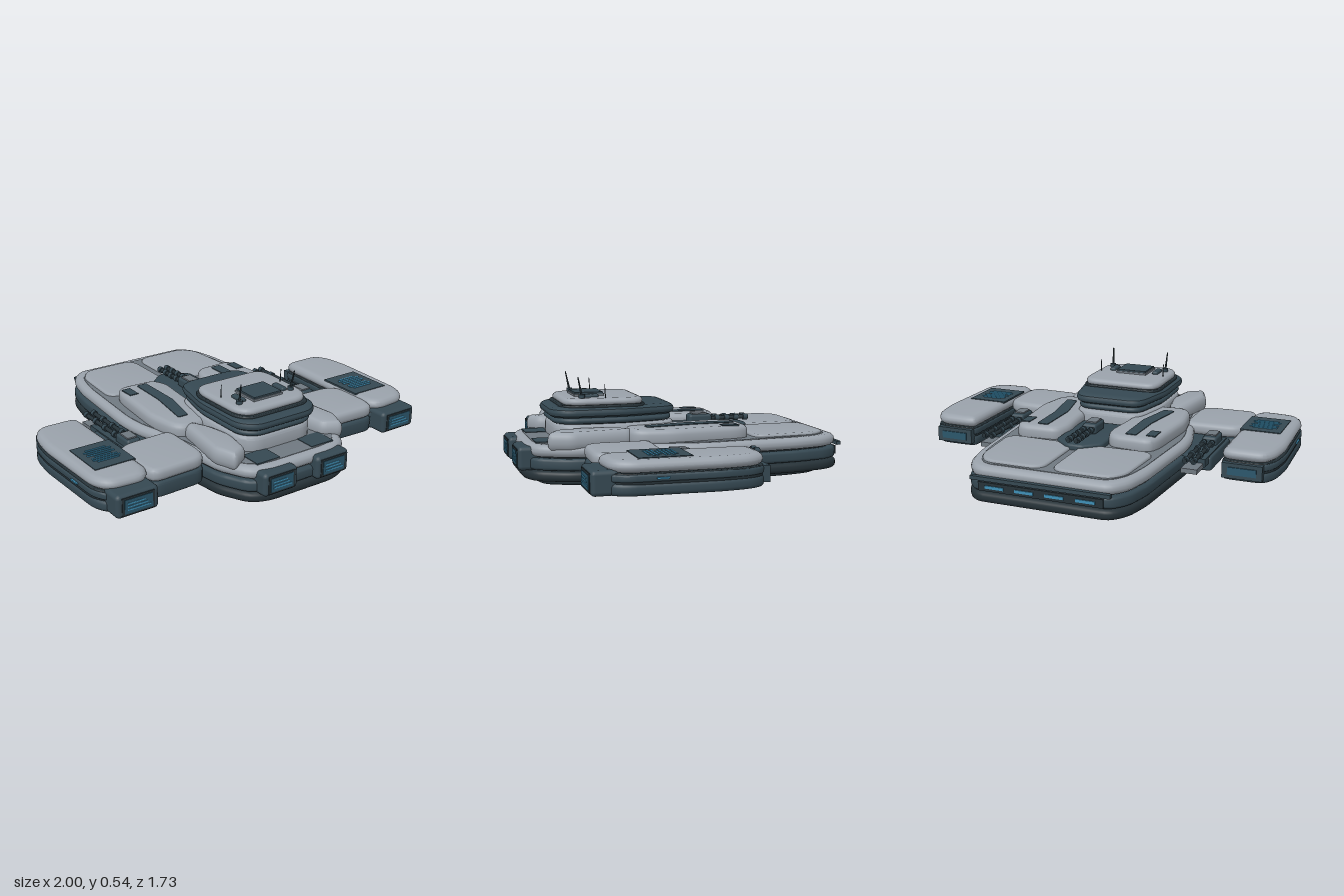
import * as THREE from 'three';
import { toCreasedNormals } from 'three/addons/utils/BufferGeometryUtils.js';
import { RoundedBoxGeometry } from 'three/addons/geometries/RoundedBoxGeometry.js';

const mat = (name, color) => Object.assign(new THREE.MeshStandardMaterial({ color }), { name });

export function createModel() {
  const model = new THREE.Group();
  const light = mat('hull grey', 0x9aa2ab);
  const trim = mat('trim grey', 0x6f7880);
  const dark = mat('dark slate', 0x354852);
  const keel = mat('keel black', 0x263238);
  const glass = mat('teal glass', 0x2b566b);
  const glow = mat('cyan light', 0x3f8fb5);

  const add = (name, geo, m, parent = model) => {
    const mesh = new THREE.Mesh(geo, m);
    mesh.name = name;
    parent.add(mesh);
    return mesh;
  };

  // Plan outline [x, z] with rounded corners
  function outline(pts, r) {
    const s = new THREE.Shape();
    const v = pts.map(([x, z]) => new THREE.Vector2(x, -z));
    v.forEach((p, i) => {
      const a = v[(i + v.length - 1) % v.length], b = v[(i + 1) % v.length];
      const toward = q => p.clone().lerp(q, Math.min(0.45, r / p.distanceTo(q)));
      const p0 = toward(a), p1 = toward(b);
      if (i) s.lineTo(p0.x, p0.y); else s.moveTo(p0.x, p0.y);
      s.quadraticCurveTo(p.x, p.y, p1.x, p1.y);
    });
    s.closePath();
    return s;
  }

  // Horizontal slab with bevelled rims, from y0 to y1
  function slab(name, pts, y0, y1, m, { r = 0.05, b = 0.02, h = b, parent = model } = {}) {
    h = Math.min(h, (y1 - y0) * 0.48);
    const g = new THREE.ExtrudeGeometry(outline(pts, r), {
      depth: y1 - y0 - 2 * h, curveSegments: 4, bevelEnabled: b > 0,
      bevelSize: b, bevelThickness: h, bevelOffset: -b, bevelSegments: 3,
    });
    g.rotateX(-Math.PI / 2).translate(0, y0 + h, 0);
    return add(name, toCreasedNormals(g, 0.6), m, parent);
  }

  const both = half => [...half, ...half.map(([x, z]) => [-x, z]).reverse()];
  const grow = (pts, kx, kz, dz = 0) => pts.map(([x, z]) => [x * kx, z * kz + dz]);
  const box = (name, x0, x1, y0, y1, z0, z1, m, parent) => add(name,
    new THREE.BoxGeometry(x1 - x0, y1 - y0, z1 - z0)
      .translate((x0 + x1) / 2, (y0 + y1) / 2, (z0 + z1) / 2), m, parent);
  const round = (name, x0, x1, y0, y1, z0, z1, r, m, parent) => add(name,
    new RoundedBoxGeometry(x1 - x0, y1 - y0, z1 - z0, 2, r)
      .translate((x0 + x1) / 2, (y0 + y1) / 2, (z0 + z1) / 2), m, parent);
  const rod = (name, a, b, r, m, parent, r2 = r) => {
    const p = new THREE.Vector3(...a), q = new THREE.Vector3(...b);
    const rodMesh = add(name, new THREE.CylinderGeometry(r2, r, p.distanceTo(q), 10), m, parent);
    rodMesh.position.copy(p).lerp(q, 0.5);
    rodMesh.quaternion.setFromUnitVectors(new THREE.Vector3(0, 1, 0), q.sub(p).normalize());
  };

  // Stacked hull layers
  const hull = both([[0.36, -0.85], [0.43, -0.76], [0.465, -0.6], [0.5, -0.1], [0.49, 0.03],
    [0.43, 0.25], [0.4, 0.45], [0.38, 0.62], [0.3, 0.78], [0.2, 0.82]]);
  slab('keelPlate', grow(hull, 0.77, 0.905), 0, 0.04, keel, { b: 0.015 });
  slab('lowerHull', grow(hull, 1, 1.005), 0.035, 0.088, keel, { b: 0.02 });
  slab('hullRecess', grow(hull, 0.94, 0.96), 0.08, 0.16, keel, { b: 0 });
  slab('midHull', hull, 0.092, 0.152, dark, { b: 0.015 });
  slab('mainDeck', grow(hull, 0.995, 0.995), 0.156, 0.218, light, { b: 0.03 });
  slab('deckTrim', grow(hull, 0.91, 0.935), 0.21, 0.222, trim, { b: 0.005 });

  // Stern plate with engine lights
  box('sternPlate', -0.37, 0.37, 0.155, 0.175, -0.868, -0.845, dark);
  box('sternBand', -0.33, 0.33, 0.1, 0.145, -0.858, -0.845, keel);
  for (const x of [-0.24, -0.08, 0.08, 0.24])
    box('sternLight', x - 0.05, x + 0.05, 0.115, 0.13, -0.863, -0.857, glow);

  // Gun with ribbed twin barrels pointing aft
  function gun(name, x, y, zBase, zTip) {
    const g = new THREE.Group();
    g.name = name;
    model.add(g);
    round('gunHousing', x - 0.04, x + 0.04, y - 0.03, y + 0.025, zBase - 0.13, zBase, 0.015, dark, g);
    box('gunCap', x - 0.028, x + 0.028, y + 0.02, y + 0.032, zBase - 0.1, zBase - 0.02, trim, g);
    for (const d of [-0.022, 0.022]) {
      rod('barrel', [x + d, y, zBase - 0.1], [x + d, y, zTip], 0.011, keel, g);
      for (let i = 0; i < 4; i++) {
        const z = THREE.MathUtils.lerp(zBase - 0.15, zTip + 0.03, i / 3);
        rod('barrelRing', [x + d, y, z], [x + d, y, z - 0.025], 0.017, dark, g);
      }
    }
  }

  // Vent of short glowing bars, centred at x, z
  function vent(x, z, y, parent) {
    const w = [0.11, 0.15, 0.13, 0.15, 0.09, 0.14, 0.15, 0.12];
    w.forEach((len, i) => box('ventBar', x - len / 2, x + len / 2, y, y + 0.004,
      z - 0.07 + i * 0.019, z - 0.06 + i * 0.019, glow, parent));
  }

  // Dark nose block with framed glass
  function nose(name, x, w, y0, y1, z0, z1, parent) {
    round(name, x - w / 2, x + w / 2, y0, y1, z0, z1, 0.022, dark, parent);
    const cy = (y0 + y1) / 2, gw = w * 0.33, gh = (y1 - y0) * 0.3;
    box('noseFrame', x - gw - 0.012, x + gw + 0.012, cy - gh - 0.01, cy + gh + 0.01, z1 - 0.01, z1 + 0.003, keel, parent);
    box('noseGlass', x - gw, x + gw, cy - gh, cy + gh, z1, z1 + 0.006, glass, parent);
    for (let i = 0; i < 3; i++)
      box('noseLight', x - gw * 0.8, x + gw * (0.85 - i * 0.2), cy - 0.02 + i * 0.016, cy - 0.013 + i * 0.016,
        z1 + 0.005, z1 + 0.008, glow, parent);
  }

  for (const s of [-1, 1]) {
    const side = s > 0 ? 'left' : 'right';
    const wing = new THREE.Group();
    wing.name = side + 'Wing';
    model.add(wing);
    const m = pts => pts.map(([x, z]) => [x * s, z]);
    const sbox = (n, x0, x1, ...rest) => box(n, Math.min(x0 * s, x1 * s), Math.max(x0 * s, x1 * s), ...rest);

    // Raised aft deck panels
    slab(side + 'AftPanel', m([[0.02, -0.37], [0.02, -0.74], [0.06, -0.78], [0.33, -0.78],
      [0.39, -0.7], [0.41, -0.4], [0.37, -0.36]]), 0.2, 0.235, light, { r: 0.04, b: 0.012 });

    // Shoulders with inlaid strips
    slab(side + 'Shoulder', m([[0.11, -0.24], [0.15, -0.33], [0.37, -0.34], [0.4, -0.27], [0.43, 0.08],
      [0.4, 0.26], [0.34, 0.31], [0.15, 0.28], [0.13, -0.05]]), 0.2, 0.287, light, { b: 0.028 });
    slab(side + 'ShoulderStrip', m([[0.22, -0.29], [0.28, -0.29], [0.285, -0.06], [0.325, 0.2],
      [0.265, 0.2], [0.22, -0.02]]), 0.284, 0.291, dark, { r: 0.01, b: 0 });
    sbox('shoulderHatch', 0.33, 0.38, 0.284, 0.291, -0.28, -0.19, dark);

    // Forward fairings and nose details
    slab(side + 'Fairing', m([[0.29, 0.26], [0.35, 0.29], [0.388, 0.6], [0.34, 0.725], [0.24, 0.67],
      [0.21, 0.5], [0.24, 0.36]]), 0.19, 0.287, light, { r: 0.03, b: 0.028, h: 0.04 });
    sbox('foredeckHatch', 0.1, 0.24, 0.2, 0.225, 0.64, 0.76, dark);
    nose(side + 'NosePod', 0.163 * s, 0.205, 0.085, 0.207, 0.74, 0.855, model);

    // Wing root
    const root = [[0.38, 0.2], [0.66, 0.21], [0.72, 0.26], [0.72, 0.5], [0.69, 0.565], [0.42, 0.555], [0.38, 0.5]];
    slab('wingRootBase', m(root), 0.085, 0.165, dark, { b: 0.015, parent: wing });
    slab('wingRootTop', m(root), 0.167, 0.235, light, { b: 0.025, parent: wing });

    // Outer pod
    const pod = [[0.705, -0.19], [0.74, -0.21], [0.93, -0.21], [0.98, -0.13], [0.998, 0.02],
      [0.985, 0.48], [0.93, 0.565], [0.75, 0.58], [0.7, 0.52]];
    slab('podBase', m(pod), 0.08, 0.14, dark, { b: 0.02, parent: wing });
    slab('podBand', m(pod.map(([x, z]) => [0.85 + (x - 0.85) * 0.96, z * 0.98])), 0.13, 0.185, keel, { b: 0.005, parent: wing });
    slab('podRim', m(pod), 0.145, 0.18, dark, { b: 0.008, parent: wing });
    slab('podTop', m(pod.map(([x, z]) => [0.85 + (x - 0.85) * 0.99, z * 0.97])), 0.183, 0.243, light, { b: 0.035, parent: wing });
    sbox('ventPanel', 0.71, 0.93, 0.238, 0.247, 0.15, 0.41, dark, wing);
    vent(0.82 * s, 0.275, 0.246, wing);
    sbox('podSideLight', 0.975, 0.998, 0.158, 0.166, 0.28, 0.34, glow, wing);
    nose('podNose', 0.83 * s, 0.23, 0.08, 0.2, 0.5, 0.632, wing);
    sbox('podExhaust', 0.72, 0.93, 0.1, 0.18, -0.23, -0.18, dark, wing);
    sbox('podExhaustGlow', 0.75, 0.9, 0.12, 0.16, -0.236, -0.23, glass, wing);

    // Gun bracket between hull and pod
    slab('gunBracket', m([[0.42, -0.1], [0.52, -0.14], [0.64, -0.14], [0.64, 0.22], [0.42, 0.22]]),
      0.09, 0.165, dark, { r: 0.02, b: 0.01, parent: wing });
    sbox('gunRail', 0.52, 0.625, 0.13, 0.172, -0.2, 0.2, dark, wing);
    sbox('gunTray', 0.53, 0.615, 0.125, 0.15, -0.31, -0.15, trim, wing);
    gun(side + 'Gun', 0.572 * s, 0.19, 0.17, -0.31);
  }

  // Aft gun platform
  slab('gunPlatform', both([[0.04, -0.45], [0.13, -0.37], [0.13, -0.02]]), 0.2, 0.25, dark, { r: 0.02, b: 0.01 });
  gun('aftGun', 0, 0.278, -0.12, -0.465);

  // Command tower
  const tower = new THREE.Group();
  tower.name = 'commandTower';
  model.add(tower);
  const plan = both([[0.15, 0.0], [0.2, 0.04], [0.25, 0.28], [0.245, 0.6], [0.17, 0.675]]);
  const tier = (n, kx, kz, dz, y0, y1, m, o) => slab(n, grow(plan, kx, kz, dz), y0, y1, m, { parent: tower, ...o });
  tier('towerFoot', 0.95, 0.96, 0, 0.2, 0.3, light, { b: 0.02 });
  tier('towerNeck', 0.85, 0.86, 0.045, 0.29, 0.345, keel, { b: 0.01 });
  tier('towerCollar', 0.94, 0.95, 0.015, 0.302, 0.335, dark, { b: 0.02 });
  tier('bridgeBand', 1, 1, 0, 0.333, 0.39, dark, { b: 0.04, h: 0.025 });
  slab('bridgeRim', both([[0.2, 0.17], [0.228, 0.24], [0.225, 0.55], [0.18, 0.62]]), 0.38, 0.4, keel, { b: 0.005, parent: tower });
  slab('bridgeRoof', both([[0.19, 0.18], [0.222, 0.24], [0.218, 0.54], [0.17, 0.605]]), 0.393, 0.432, light, { b: 0.022, parent: tower });

  // Roof fittings
  box('roofPlinth', -0.09, 0.09, 0.425, 0.443, 0.37, 0.53, trim, tower);
  box('roofHatch', -0.085, 0.085, 0.443, 0.452, 0.375, 0.525, dark, tower);
  for (const s of [-1, 1]) {
    round('roofBox', s * 0.13 - 0.017, s * 0.13 + 0.017, 0.42, 0.448, 0.41, 0.5, 0.01, dark, tower);
    rod('antennaFoot', [s * 0.163, 0.42, 0.505], [s * 0.163, 0.45, 0.505], 0.016, dark, tower);
    rod('antenna', [s * 0.163, 0.44, 0.505], [s * 0.168, 0.54, 0.525], 0.006, keel, tower, 0.003);
    rod('shortAntenna', [s * 0.19, 0.42, 0.385], [s * 0.19, 0.5, 0.39], 0.003, keel, tower, 0.002);
  }
  return model;
}
